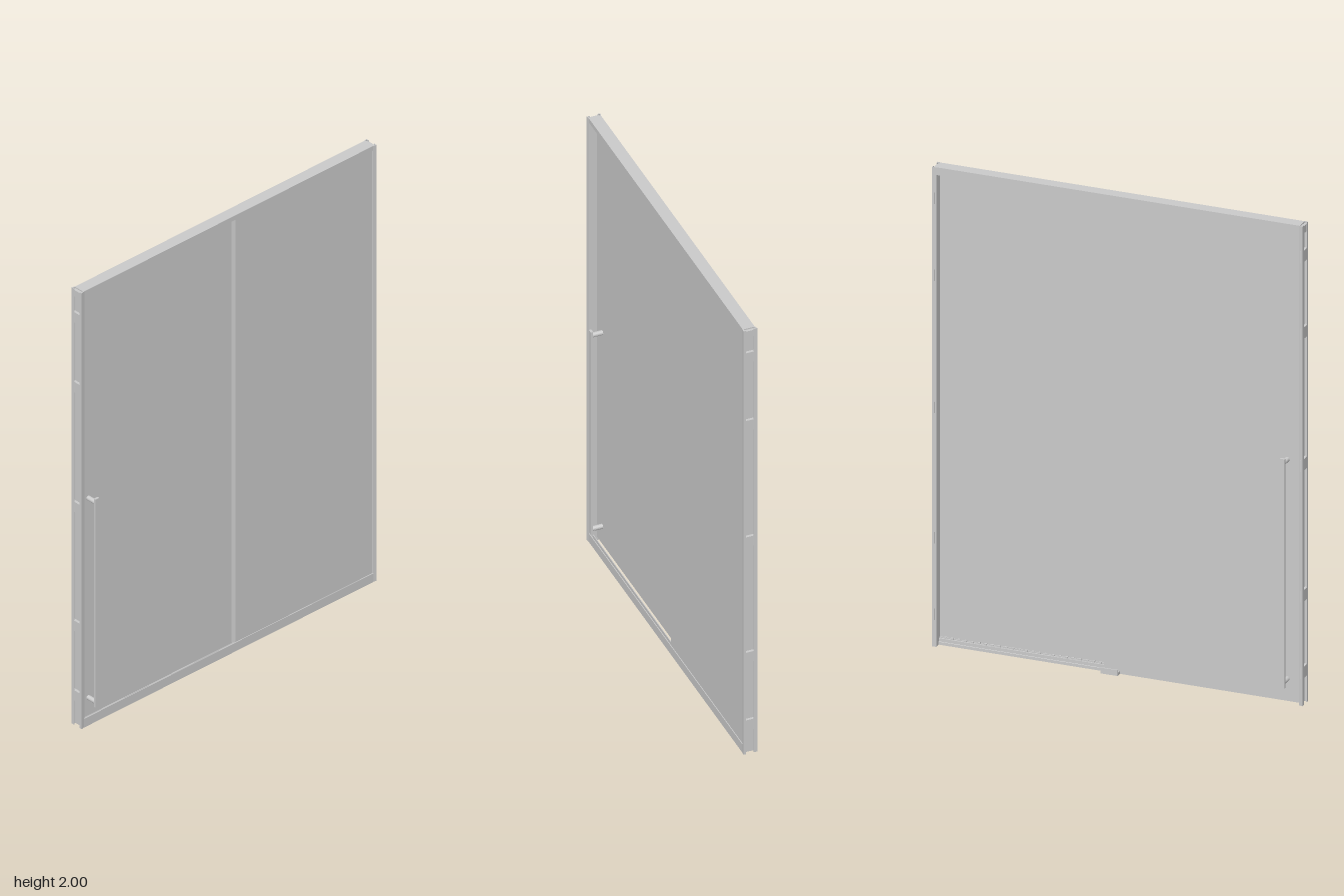
import * as THREE from 'three';

export function createModel() {
  const model = new THREE.Group();
  model.name = 'slidingShowerDoor';
  const material = new THREE.MeshStandardMaterial({ color: 0xcccccc, flatShading: true });

  const add = (name, geometry, parent = model) => {
    const mesh = new THREE.Mesh(geometry, material);
    mesh.name = name;
    parent.add(mesh);
    return mesh;
  };

  // Box given by its limits on each axis
  const box = (name, x0, x1, y0, y1, z0, z1, parent) => {
    const mesh = add(name, new THREE.BoxGeometry(x1 - x0, y1 - y0, z1 - z0), parent);
    mesh.position.set((x0 + x1) / 2, (y0 + y1) / 2, (z0 + z1) / 2);
    return mesh;
  };

  // Straight profile: section points run along the extrusion axis
  const profile = (points, length) => new THREE.ExtrudeGeometry(
    new THREE.Shape(points.map(([a, b]) => new THREE.Vector2(a, b))),
    { depth: length, bevelEnabled: false });

  // Header: channel open at the bottom (section is [-z, y])
  const header = profile([
    [-0.037, 1.98], [-0.037, 2], [0.013, 2], [0.013, 1.968], [0.010, 1.968],
    [0.010, 1.995], [-0.010, 1.995], [-0.010, 1.98], [-0.014, 1.98],
    [-0.014, 1.995], [-0.034, 1.995], [-0.034, 1.98],
  ], 1.51);
  header.rotateY(Math.PI / 2);
  add('header', header).position.x = -0.755;

  // Sill: raised front lip, hollow underside, low track at the back
  const sill = profile([
    [-0.038, 0], [-0.038, 0.04], [-0.035, 0.04], [-0.035, 0.016], [-0.022, 0.016],
    [-0.022, 0.03], [-0.019, 0.03], [-0.019, 0.016], [-0.010, 0.012], [-0.010, 0],
    [-0.013, 0], [-0.013, 0.010], [-0.021, 0.012], [-0.035, 0.012], [-0.035, 0],
  ], 1.51);
  sill.rotateY(Math.PI / 2);
  add('sill', sill).position.x = -0.755;

  // Side jambs: channels open towards the wall, with lips and fixing clips
  for (const side of [-1, 1]) {
    const jamb = new THREE.Group();
    jamb.name = side > 0 ? 'leftJamb' : 'rightJamb';
    model.add(jamb);
    const section = [
      [0.753, -0.013], [0.770, -0.018], [0.770, -0.004], [0.767, -0.004],
      [0.767, -0.013], [0.757, -0.010], [0.757, 0.033], [0.767, 0.036],
      [0.767, 0.028], [0.770, 0.028], [0.770, 0.040], [0.753, 0.037],
    ].map(([x, z]) => [side * x, -z]);
    const channel = profile(section, 2);
    channel.rotateX(-Math.PI / 2);
    add('jambChannel', channel, jamb);
    for (const y of [0.135, 0.455, 1.0, 1.55, 1.87]) {
      const clip = box('fixingClip', -0.0055, 0.0055, y - 0.024, y + 0.024, -0.016, 0.038, jamb);
      clip.position.x = side * 0.7645;
    }
    const cap = box('endBlock', -0.006, 0.006, 1.965, 1.995, -0.012, 0.035, jamb);
    cap.position.x = side * 0.763;
  }

  // Glass panels
  box('fixedPanel', 0.04, 0.755, 0.018, 1.99, 0.024, 0.033);
  box('slidingPanel', -0.753, 0.06, 0.016, 1.985, -0.006, 0.004);

  // Seals: meeting edge, and strip under the fixed panel
  box('meetingSeal', 0.045, 0.06, 0.02, 1.98, 0.004, 0.021);
  box('fixedPanelStrip', 0.06, 0.755, 0.012, 0.026, 0.012, 0.024);
  for (let i = 0; i < 24; i++) {
    const x = 0.08 + i * 0.028;
    box('stripTooth', x, x + 0.01, 0.026, 0.032, 0.016, 0.024);
  }

  // Floor guide
  box('floorGuide', 0.0, 0.07, 0, 0.013, -0.014, 0.012);
  box('guideLip', 0.0, 0.07, 0.013, 0.024, -0.014, -0.009);

  // Pull handles on both faces of the sliding panel
  for (const side of [-1, 1]) {
    const handle = new THREE.Group();
    handle.name = side > 0 ? 'frontHandle' : 'backHandle';
    model.add(handle);
    const bar = box('handleBar', -0.712, -0.692, 0.08, 1.035, -0.005, 0.005, handle);
    bar.position.z = side * 0.051;
    for (const y of [0.1, 1.015]) {
      const post = add('handlePost', new THREE.CylinderGeometry(0.01, 0.01, 0.044, 20), handle);
      post.rotation.x = Math.PI / 2;
      post.position.set(-0.702, y, side * 0.026);
    }
  }
  return model;
}
